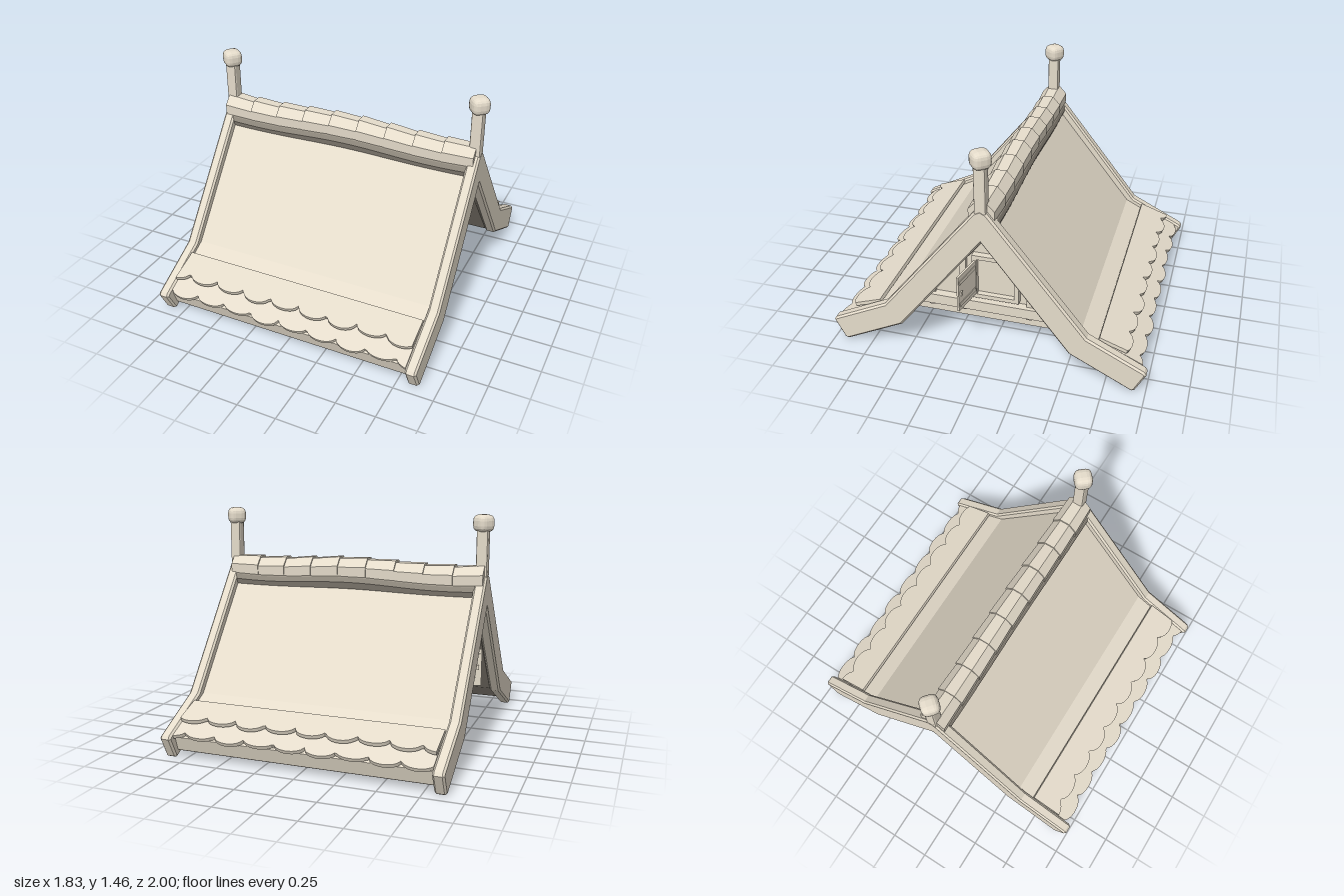
import * as THREE from 'three';
import { RoundedBoxGeometry } from 'three/addons/geometries/RoundedBoxGeometry.js';

const clay = new THREE.MeshStandardMaterial({ color: 0xe5dccb });
clay.name = 'pale clay';
const shade = new THREE.MeshStandardMaterial({ color: 0x958e82 });
shade.name = 'dark taupe';

function add(parent, name, geometry, x = 0, y = 0, z = 0, material = clay) {
  const mesh = new THREE.Mesh(geometry, material);
  mesh.name = name;
  mesh.position.set(x, y, z);
  parent.add(mesh);
  return mesh;
}

const box = (w, h, d) => new THREE.BoxGeometry(w, h, d);

// Rounded box with flat facets
function facetedBox(w, h, d, segments, radius) {
  const geometry = new RoundedBoxGeometry(w, h, d, segments, radius);
  geometry.computeVertexNormals();
  return geometry;
}

// Extrudes a profile, given as its +z half from outer apex to inner apex, along x
function gableExtrude(half, width, bevel) {
  const mirrored = half.filter(p => p[0] > 0).reverse().map(([z, y]) => [-z, y]);
  const shape = new THREE.Shape([...half, ...mirrored].map(p => new THREE.Vector2(...p)));
  const geometry = new THREE.ExtrudeGeometry(shape, {
    depth: width - 2 * bevel, bevelEnabled: bevel > 0, bevelSize: bevel,
    bevelThickness: bevel, bevelOffset: -bevel, bevelSegments: 1
  });
  geometry.translate(0, 0, -(width - 2 * bevel) / 2);
  return geometry.rotateY(Math.PI / 2);
}

// Faceted solid through scaled copies of a mirrored (z, y) half section; stations are [x, y, scale]
function loft(half, stations) {
  const section = [...half, ...half.map(([z, y]) => [-z, y]).reverse()];
  const pos = [], index = [], n = section.length, last = (stations.length - 1) * n;
  for (const [x, y, s] of stations)
    for (const [pz, py] of section) pos.push(x, y + py * s, pz * s);
  for (let i = 0; i < stations.length - 1; i++)
    for (let j = 0; j < n; j++) {
      const a = i * n + j, b = i * n + (j + 1) % n;
      index.push(a, a + n, b, b, a + n, b + n);
    }
  for (let j = 1; j < n - 1; j++) {
    index.push(0, j, j + 1, last, last + j + 1, last + j);
  }
  const geometry = new THREE.BufferGeometry();
  geometry.setAttribute('position', new THREE.Float32BufferAttribute(pos, 3));
  geometry.setIndex(index);
  const flat = geometry.toNonIndexed();
  flat.computeVertexNormals();
  return flat;
}

// Strip of slightly uneven round shingles; cusp is the x of any one notch
function scallops(cusp, length, depth) {
  const half = 0.812, pitch = 0.195, steps = 120;
  const shape = new THREE.Shape();
  shape.moveTo(half, 0);
  shape.lineTo(-half, 0);
  for (let i = 0; i <= steps; i++) {
    const x = -half + 2 * half * i / steps;
    const u = (x - cusp) / pitch, k = Math.floor(u);
    const t = 2 * (u - k) - 1;
    const drop = depth + 0.007 * Math.sin(2.3 * k);
    shape.lineTo(x, length - depth + drop * Math.sqrt(Math.max(0, 1 - t * t)));
  }
  return new THREE.ExtrudeGeometry(shape, { depth: 0.024, bevelEnabled: false });
}

const ridgeY = x => 1.048 + 0.011 * Math.cos(5.2 * x);

function addEave(root, side) {
  const eave = new THREE.Group();
  eave.name = side > 0 ? 'frontEave' : 'backEave';
  if (side < 0) eave.rotation.y = Math.PI;
  const rows = [
    ['upperShingles', 0.055, 0.70, 0.302, 0.203, 0.06, 0.34],
    ['lowerShingles', 0.155, 0.72, 0.272, 0.276, 0.05, 0.44]
  ];
  for (const [name, cusp, z, y, length, depth, tilt] of rows) {
    const row = add(eave, name, scallops(side * cusp, length, depth), 0, y, z);
    row.rotation.x = Math.PI / 2 + tilt;
  }
  root.add(eave);
}

function addGable(root, s) {
  const gable = new THREE.Group();
  gable.name = s > 0 ? 'leftGable' : 'rightGable';
  const part = (name, x, y, z, w, h, d) => add(gable, name, box(w, h, d), s * x, y, z);

  // Wall and sill
  add(gable, 'gableWall', gableExtrude([[0, 0.93], [0.595, 0.2], [0.595, 0.115], [0, 0.115]], 0.03, 0), s * 0.565);
  part('sill', 0.605, 0.238, 0, 0.06, 0.07, 1.05);

  // Studs with pegs below the sill
  for (const side of [-1, 1]) {
    part('tallStud', 0.592, 0.42, side * 0.217, 0.03, 0.31, 0.042);
    part('shortStud', 0.592, 0.30, side * 0.425, 0.03, 0.08, 0.036);
    for (const z of [0.217, 0.425]) part('peg', 0.605, 0.198, side * z, 0.035, 0.022, 0.036);
  }

  // Window
  for (const side of [-1, 1]) {
    part('windowJamb', 0.6, 0.4525, side * 0.136, 0.045, 0.315, 0.028);
    part('windowRail', 0.6, 0.4525 + side * 0.143, 0, 0.045, 0.028, 0.244);
  }
  part('windowPane', 0.583, 0.4525, 0, 0.008, 0.258, 0.244);

  // Shutter swung open on its hinge
  const shutter = new THREE.Group();
  shutter.name = 'shutter';
  shutter.position.set(s * 0.62, 0.45, 0.132);
  shutter.rotation.y = -s * 0.2;
  add(shutter, 'shutterPanel', box(0.21, 0.245, 0.014), s * 0.105);
  for (const y of [-0.08, 0.08]) add(shutter, 'shutterBatten', box(0.19, 0.025, 0.024), s * 0.105, y);
  add(shutter, 'shutterHandle', box(0.015, 0.03, 0.036), s * 0.185);
  gable.add(shutter);
  root.add(gable);
}

export function createModel() {
  const root = new THREE.Group();
  root.name = 'gabledRoof';

  // Roof slab with a dark lining over its whole underside
  add(root, 'roofSlab', gableExtrude([
    [0, 1.05], [0.585, 0.318], [0.938, 0.136], [0.91, 0.05], [0.54, 0.25], [0, 0.925]
  ], 1.64, 0));
  add(root, 'roofLining', gableExtrude([
    [0, 0.935], [0.545, 0.254], [0.911, 0.058], [0.906, 0.044], [0.524, 0.212], [0, 0.86]
  ], 1.63, 0), 0, 0, 0, shade);

  for (const s of [-1, 1]) {
    // Bargeboards and finials
    add(root, 'bargeboard', gableExtrude([
      [0, 1.1], [0.04, 1.08], [0.635, 0.33], [0.985, 0.155], [0.998, 0.135],
      [0.935, 0.01], [0.915, 0], [0.53, 0.195], [0, 0.882]
    ], 0.072, 0.012), s * 0.85);
    add(root, 'finialPost', facetedBox(0.072, 0.34, 0.072, 1, 0.012), s * 0.848, 1.22, 0);
    const knob = add(root, 'finialKnob', facetedBox(0.114, 0.108, 0.114, 2, 0.038), s * 0.848, 1.407, 0);
    knob.rotation.y = s * 0.7;
    addEave(root, s);
    addGable(root, s);
  }

  // Wavy dark ridge beam showing below the tiles
  const beam = [[0.06, -0.12], [0.076, -0.092], [0.092, -0.054], [0.085, -0.024], [0.06, 0], [0.03, 0.06]];
  const stations = Array.from({ length: 25 }, (_, i) => {
    const x = -0.82 + 1.64 * i / 24;
    return [x, ridgeY(x), 1];
  });
  add(root, 'ridgeBeam', loft(beam, stations), 0, 0, 0, shade);

  // Overlapping ridge tiles, each tapering toward +x
  const tile = [[0.084, -0.02], [0.086, 0.045], [0.035, 0.1]];
  for (let i = 0; i < 9; i++) {
    const x = -0.87 + 0.191 * i, end = Math.min(x + 0.2, 0.86);
    add(root, 'ridgeTile', loft(tile, [[x, ridgeY(x) + 0.004, 1], [end, ridgeY(end), 0.92]]));
  }
  return root;
}
